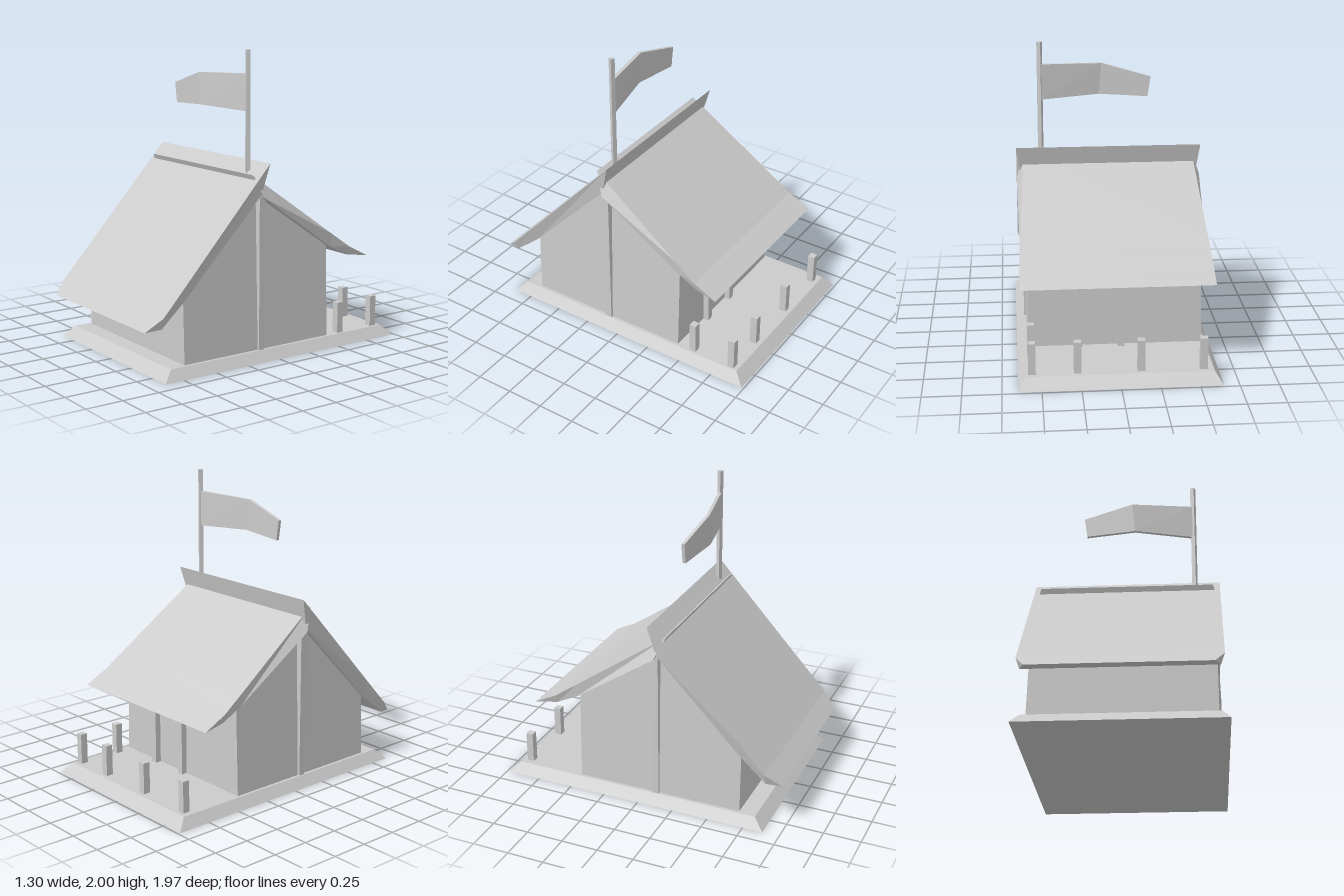
import * as THREE from 'three';

const material = new THREE.MeshStandardMaterial({ color: 0xcccccc, flatShading: true });

function add(parent, name, geometry, x = 0, y = 0, z = 0) {
  const mesh = new THREE.Mesh(geometry, material);
  mesh.name = name;
  mesh.position.set(x, y, z);
  parent.add(mesh);
  return mesh;
}

// Move every vertex by a rule, then refresh the normals
function reshape(geometry, rule) {
  const p = geometry.attributes.position;
  const v = new THREE.Vector3();
  for (let i = 0; i < p.count; i++) {
    rule(v.fromBufferAttribute(p, i));
    p.setXYZ(i, v.x, v.y, v.z);
  }
  geometry.computeVertexNormals();
  return geometry;
}

// Skin a row of four-cornered sections and cap both ends
function loft(rings) {
  const out = [];
  const quad = (a, b, c, d) => [a, b, c, a, c, d].forEach((p) => out.push(...p));
  for (let r = 0; r < rings.length - 1; r++) {
    const a = rings[r], b = rings[r + 1];
    for (let i = 0; i < 4; i++) {
      const j = (i + 1) % 4;
      quad(a[i], b[i], b[j], a[j]);
    }
  }
  const s = rings[0], e = rings[rings.length - 1];
  quad(s[0], s[1], s[2], s[3]);
  quad(e[0], e[3], e[2], e[1]);
  const g = new THREE.BufferGeometry();
  g.setAttribute('position', new THREE.Float32BufferAttribute(out, 3));
  g.computeVertexNormals();
  return g;
}

// Roof section: z, y, half width of the upper edge, then of the lower edge
const roofRing = ([zt, yt, wt, zb, yb, wb]) =>
  [[-wt, yt, zt], [wt, yt, zt], [wb, yb, zb], [-wb, yb, zb]];

export function createModel() {
  const model = new THREE.Group();
  model.name = 'hut';

  // Bevelled plinth
  add(model, 'base', reshape(new THREE.BoxGeometry(1.3, 0.07, 1.87), (v) => {
    if (v.y > 0) { v.x *= 0.923; v.z *= 0.925; }
  }), 0, 0.035, -0.05);

  // Gabled walls, leaning slightly inward
  const gable = new THREE.Shape(
    [[-0.7, 0.05], [0.45, 0.05], [0.45, 0.69], [-0.12, 1.1], [-0.7, 0.49]]
      .map(([x, y]) => new THREE.Vector2(x, y)));
  const walls = new THREE.ExtrudeGeometry(gable, { depth: 1.16, bevelEnabled: false });
  walls.rotateY(Math.PI / 2).translate(-0.58, 0, 0);
  add(model, 'walls', reshape(walls, (v) => { v.x *= 1 - 0.05 * (v.y - 0.07); }));

  // Gable posts
  for (const side of [-1, 1]) {
    add(model, 'gablePost', new THREE.BoxGeometry(0.06, 1.02, 0.045), side * 0.565, 0.57, 0.108);
  }

  // Roof slabs crossing at the ridge, with flared eaves
  add(model, 'frontRoof', loft([
    [0.07, 1.29, 0.625, 0.12, 1.09, 0.6],
    [0.7, 0.605, 0.625, 0.7, 0.485, 0.59],
    [0.88, 0.41, 0.625, 0.88, 0.335, 0.6],
    [0.98, 0.32, 0.565, 0.98, 0.32, 0.565],
  ].map(roofRing)));
  add(model, 'backRoof', loft([
    [-0.757, 0.59, 0.625, -0.757, 0.59, 0.625],
    [-0.6, 0.67, 0.625, -0.6, 0.61, 0.605],
    [-0.45, 0.775, 0.617, -0.45, 0.685, 0.605],
    [0.18, 1.22, 0.578, 0.11, 1.07, 0.625],
  ].map(roofRing)));

  // Door frame on the back wall
  const door = new THREE.Group();
  door.name = 'doorFrame';
  model.add(door);
  for (const x of [-0.04, 0.24]) {
    add(door, 'doorJamb', new THREE.BoxGeometry(0.045, 0.54, 0.06), x, 0.33, -0.46);
  }
  add(door, 'doorLintel', new THREE.BoxGeometry(0.235, 0.045, 0.06), 0.1, 0.5775, -0.46);

  // Porch posts
  for (const [x, z] of [[-0.535, -0.86], [-0.135, -0.86], [0.27, -0.86], [0.56, -0.86], [0.56, -0.565]]) {
    add(model, 'porchPost', new THREE.BoxGeometry(0.048, 0.22, 0.048), x, 0.17, z);
  }

  // Flagpole and bent flag
  add(model, 'flagpole', new THREE.BoxGeometry(0.028, 0.9, 0.028), 0.458, 1.55, 0.125).rotation.y = -0.45;
  const flag = [
    // x top, x bottom, y top, y bottom, z
    [0.455, 0.455, 1.85, 1.61, 0.125],
    [0.04, 0.06, 1.835, 1.625, 0.207],
    [-0.29, -0.27, 1.745, 1.61, 0.172],
  ].map(([xt, xb, yt, yb, z]) => [
    [xt, yt, z - 0.011], [xt, yt, z + 0.011], [xb, yb, z + 0.011], [xb, yb, z - 0.011],
  ]);
  add(model, 'flag', loft(flag));

  return model;
}
